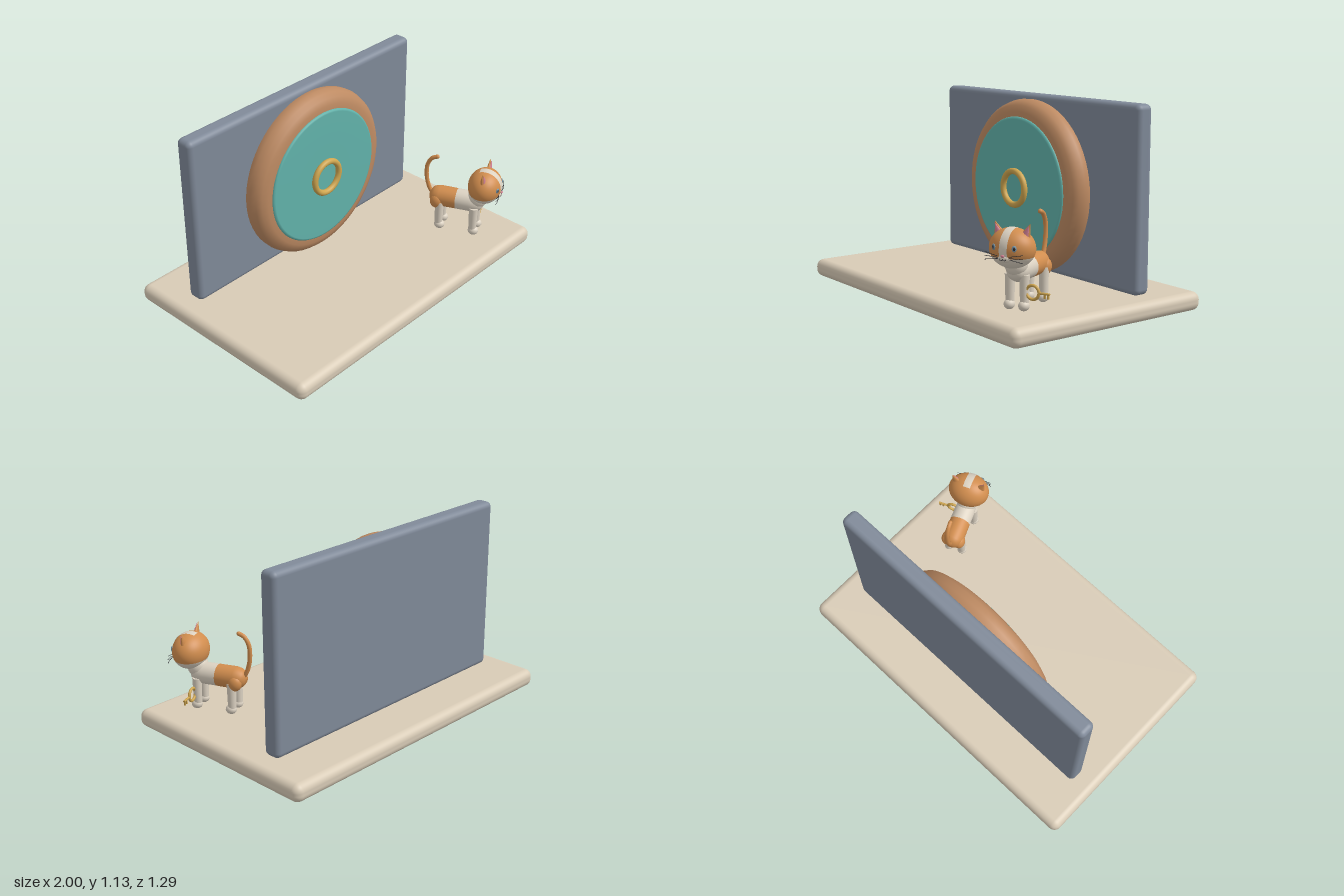
import * as THREE from 'three';
import { RoundedBoxGeometry } from 'three/addons/geometries/RoundedBoxGeometry.js';

const paint = (name, color) => {
  const m = new THREE.MeshStandardMaterial({ color });
  m.name = name;
  return m;
};

export function createModel() {
  const stone = paint('warm stone', 0xd8cbb6);
  const slate = paint('slate', 0x808a99);
  const copper = paint('copper brown', 0xbd8a62);
  const teal = paint('teal', 0x62b3ab);
  const gold = paint('gold', 0xcfa650);
  const orange = paint('orange fur', 0xd18d4e);
  const cream = paint('cream fur', 0xdcd2c2);
  const pink = paint('pink', 0xcf7f92);
  const dark = paint('dark', 0x2b2b30);
  const blue = paint('eye blue', 0x7896a8);

  const model = new THREE.Group();
  model.name = 'catScene';

  function add(parent, name, geometry, material, x = 0, y = 0, z = 0) {
    const mesh = new THREE.Mesh(geometry, material);
    mesh.name = name;
    mesh.position.set(x, y, z);
    parent.add(mesh);
    return mesh;
  }
  const ball = (r, sx = 1, sy = 1, sz = 1) => new THREE.SphereGeometry(r, 24, 16).scale(sx, sy, sz);
  const rod = (points, r, n = 24) => new THREE.TubeGeometry(
    new THREE.CatmullRomCurve3(points.map(p => new THREE.Vector3(...p))), n, r, 10);
  // profile of [radius, z] points from back to front, turned about the z axis
  const turned = profile => new THREE.LatheGeometry(
    profile.map(p => new THREE.Vector2(...p)), 64).rotateX(Math.PI / 2);

  // Floor slab and back wall
  add(model, 'floor', new RoundedBoxGeometry(2, 0.105, 1.29, 5, 0.045), stone, 0, 0.0525, 0);
  add(model, 'wall', new RoundedBoxGeometry(1.75, 1.025, 0.105, 5, 0.032), slate, 0, 0.6175, -0.3175);

  // Round door on the wall
  const door = new THREE.Group();
  door.name = 'roundDoor';
  door.position.set(0, 0.597, 0);
  model.add(door);
  add(door, 'doorFrame', turned([[0.495, -0.28], [0.506, -0.255], [0.508, -0.225], [0.497, -0.19],
    [0.475, -0.165], [0.44, -0.151], [0.4, -0.15]]), copper);
  add(door, 'doorPanel', turned([[0.41, -0.2], [0.41, -0.15], [0.405, -0.142], [0.395, -0.139],
    [0.2, -0.139], [0, -0.139]]), teal);
  add(door, 'doorRing', new THREE.TorusGeometry(0.098, 0.018, 16, 48), gold, 0, 0, -0.122);

  // Cat, facing its own +z and turned toward the left corner
  const cat = new THREE.Group();
  cat.name = 'cat';
  cat.position.set(0.671, 0.105, 0.29);
  cat.rotation.y = 0.41;
  model.add(cat);

  // Body: rounded barrel split into orange rear and cream front
  add(cat, 'rearBody', turned([[0, -0.15], [0.025, -0.146], [0.046, -0.132], [0.058, -0.112],
    [0.063, -0.085], [0.062, 0.02]]), orange, 0, 0.213, 0);
  add(cat, 'frontBody', turned([[0.062, 0.02], [0.062, 0.1], [0.058, 0.14], [0.045, 0.168],
    [0.025, 0.182], [0, 0.186]]), cream, 0, 0.213, 0);
  add(cat, 'neck', ball(0.06, 1, 1.1, 1), cream, 0, 0.25, 0.145);

  // Legs, paws and hips
  for (const side of [-1, 1]) {
    for (const [name, z] of [['front', 0.134], ['hind', -0.077]]) {
      add(cat, name + 'Leg', new THREE.CylinderGeometry(0.027, 0.023, 0.16, 20), cream, side * 0.042, 0.115, z);
      add(cat, name + 'Paw', ball(0.029, 1, 0.95, 1.1), cream, side * 0.042, 0.036, z + 0.006);
    }
    add(cat, 'hip', ball(0.042, 0.8, 1.1, 1), orange, side * 0.04, 0.195, -0.095);
  }

  // Tail rising behind and curling forward
  add(cat, 'tail', rod([[0, 0.225, -0.135], [0, 0.26, -0.155], [0, 0.335, -0.174], [0, 0.42, -0.17],
    [0, 0.465, -0.143], [0, 0.479, -0.113]], 0.0125, 40), orange);
  add(cat, 'tailTip', ball(0.0125), orange, 0, 0.479, -0.113);

  // Head
  const head = new THREE.Group();
  head.name = 'head';
  head.position.set(0, 0.34, 0.185);
  cat.add(head);
  const split = 1.97;
  const cap = (from, length) => new THREE.SphereGeometry(1, 48, 24, 0, Math.PI * 2, from, length)
    .scale(0.124, 0.104, 0.1);
  add(head, 'crown', cap(0, split), orange);
  add(head, 'jaw', cap(split, Math.PI - split), cream);
  // Stripe running over the crown, from the nose to the nape
  add(head, 'stripe', new THREE.SphereGeometry(1.012, 40, 8, -0.35, Math.PI + 0.7, Math.PI / 2 - 0.18, 0.36)
    .rotateZ(Math.PI / 2).rotateY(0).scale(0.124, 0.104, 0.1), cream).material.side = THREE.DoubleSide;
  add(head, 'muzzle', ball(0.03, 1.3, 0.75, 0.8), cream, 0, -0.04, 0.078);
  add(head, 'nose', ball(0.009, 1.2, 0.8, 0.7), pink, 0, -0.026, 0.102);

  for (const side of [-1, 1]) {
    // Ear with a pink inner face
    const ear = new THREE.Group();
    ear.name = 'ear';
    ear.position.set(side * 0.084, 0.09, 0);
    ear.rotation.z = -side * 0.4;
    head.add(ear);
    add(ear, 'outerEar', new THREE.ConeGeometry(0.037, 0.09, 24).scale(1, 1, 0.5), orange);
    add(ear, 'innerEar', new THREE.ConeGeometry(0.028, 0.075, 24).scale(1, 1, 0.5), pink, 0, -0.003, 0.008);

    // Eye with pupil
    const eye = new THREE.Group();
    eye.name = 'eye';
    eye.position.set(side * 0.058, 0.014, 0.087);
    eye.rotation.y = side * 0.45;
    head.add(eye);
    add(eye, 'iris', ball(0.014, 0.9, 1.15, 0.4), blue);
    add(eye, 'pupil', ball(0.008, 0.8, 1.2, 0.4), dark, 0, 0, 0.0035);

    // Mouth curve and whiskers
    add(head, 'mouth', new THREE.TorusGeometry(0.009, 0.0014, 6, 12, Math.PI).rotateZ(Math.PI), dark,
      side * 0.009, -0.039, 0.101);
    for (const k of [-1, 0, 1]) {
      add(head, 'whisker', rod([[side * 0.03, -0.035 + k * 0.006, 0.092],
        [side * 0.07, -0.033 + k * 0.013, 0.096], [side * 0.108, -0.033 + k * 0.02, 0.09]], 0.0014, 6), dark);
    }
  }

  // Key beside the front left leg
  const key = new THREE.Group();
  key.name = 'key';
  key.position.set(0.092, 0.112, 0.142);
  cat.add(key);
  add(key, 'keyBow', new THREE.TorusGeometry(0.036, 0.008, 12, 32), gold);
  add(key, 'keyShaft', new THREE.CylinderGeometry(0.0065, 0.0065, 0.062, 14).rotateZ(Math.PI / 2), gold, 0.066, 0, 0);
  for (const x of [0.07, 0.089]) {
    add(key, 'keyTooth', new THREE.BoxGeometry(0.009, 0.024, 0.009), gold, x, -0.013, 0);
  }
  return model;
}
